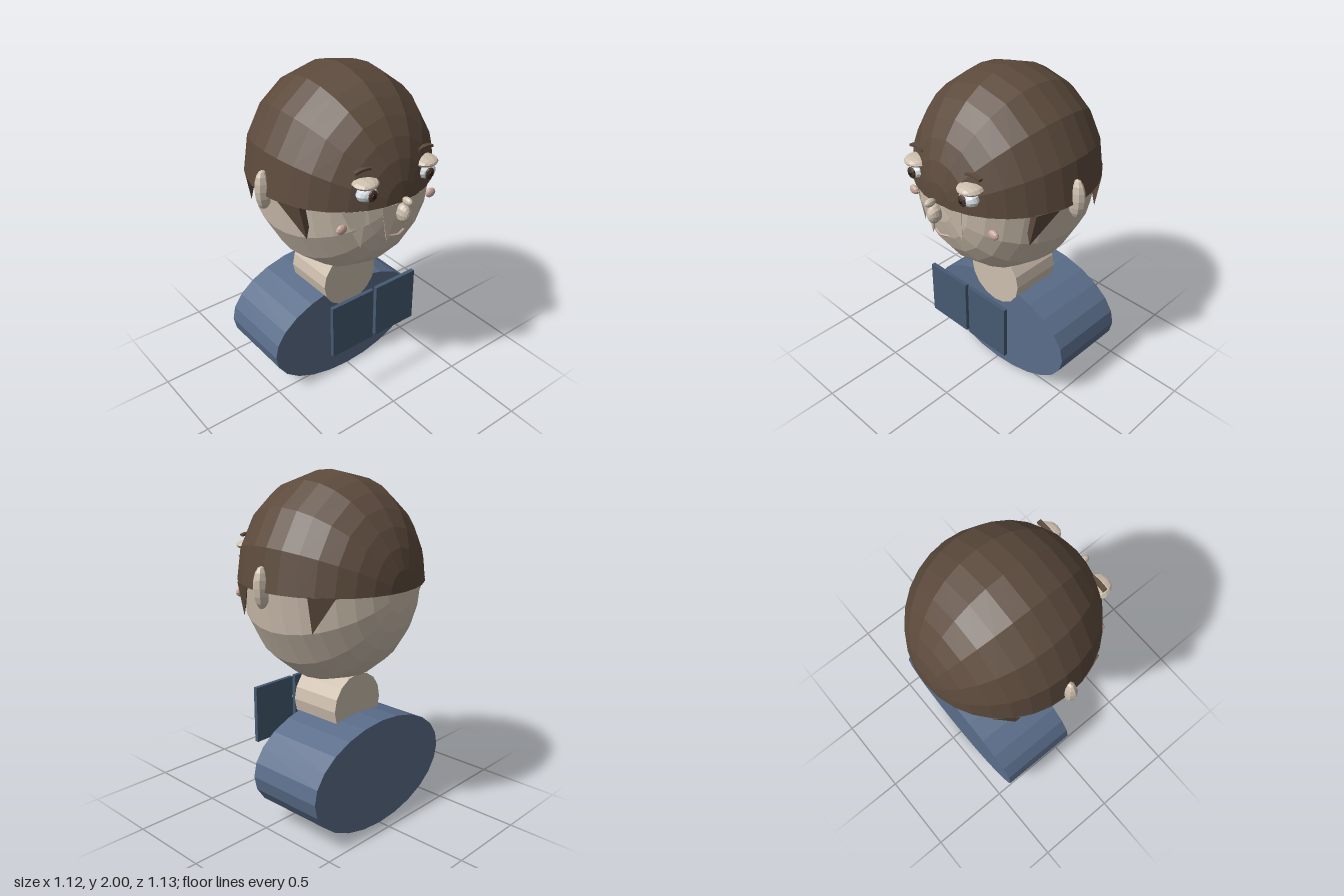
import * as THREE from 'three';

const material = (color) => new THREE.MeshStandardMaterial({ color, flatShading: true, side: THREE.DoubleSide });
const skin = material(0xcdbfae);
const hair = material(0x5c4a3c);
const coat = material(0x5a6d8a);
const lapel = material(0x465a72);
const white = material(0xd5dde2);
const iris = material(0x4a3428);
const dark = material(0x1c1614);
const blush = material(0xc9a79c);

export function createModel() {
  const model = new THREE.Group();
  model.name = 'characterBust';

  const add = (name, geometry, mat, x = 0, y = 0, z = 0) => {
    const mesh = new THREE.Mesh(geometry, mat);
    mesh.name = name;
    mesh.position.set(x, y, z);
    model.add(mesh);
    return mesh;
  };

  // Ellipsoid with its poles along z
  const ellipsoid = (rx, ry, rz, around = 10, rows = 8, start = 0, sweep = Math.PI * 2) =>
    new THREE.SphereGeometry(1, around, rows, start, sweep).rotateX(Math.PI / 2).scale(rx, ry, rz);

  // Elliptical drum lying along z
  const drum = (rx, ry, depth, sides) =>
    new THREE.CylinderGeometry(1, 1, depth, sides).rotateX(Math.PI / 2).scale(rx, ry, 1);

  // Pointed lock: three top corners meeting at a tip
  const lock = (a, b, c, tip) => {
    const g = new THREE.BufferGeometry();
    g.setAttribute('position', new THREE.Float32BufferAttribute(
      [a, b, tip, b, c, tip, c, a, tip, a, c, b].flat(2), 3));
    g.computeVertexNormals();
    return g;
  };

  // Torso and neck
  add('torso', drum(0.535, 0.32, 0.48, 24), coat, 0, 0.325, -0.19);
  add('neck', drum(0.19, 0.185, 0.32, 16), skin, 0, 0.695, -0.088);

  // Head, hair cap and the flat rim beneath it
  add('head', ellipsoid(0.49, 0.59, 0.515, 16, 16), skin, 0, 1.4, -0.03);
  add('hairCap', ellipsoid(0.52, 0.595, 0.53, 8, 16, Math.PI, Math.PI), hair, 0, 1.405, -0.035);
  add('hairRim', new THREE.CircleGeometry(1, 32).rotateX(Math.PI / 2).scale(0.52, 1, 0.53),
    hair, 0, 1.405, -0.035);

  // Paired parts, mirrored across x
  for (const s of [1, -1]) {
    const side = s > 0 ? 'left' : 'right';
    add(side + 'Lapel', new THREE.BoxGeometry(0.293, 0.345, 0.024), lapel, s * 0.158, 0.563, 0.29);
    add(side + 'Ear', new THREE.SphereGeometry(1, 8, 8).scale(0.052, 0.115, 0.038), skin, s * 0.507, 1.425, -0.022);

    // Sideburn and nape locks
    add(side + 'Sideburn', lock([s * 0.46, 1.41, 0.23], [s * 0.505, 1.41, 0.1],
      [s * 0.37, 1.41, 0.23], [s * 0.417, 1.21, 0.23]), hair);
    add(side + 'NapeLock', lock([s * 0.452, 1.41, -0.3], [s * 0.365, 1.41, -0.42],
      [s * 0.36, 1.41, -0.3], [s * 0.417, 1.21, -0.3]), hair);

    // Eye, lid and brow
    add(side + 'Eye', ellipsoid(0.062, 0.042, 0.045), white, s * 0.2, 1.502, 0.445);
    add(side + 'Iris', ellipsoid(0.03, 0.033, 0.012), iris, s * 0.193, 1.502, 0.485);
    add(side + 'Pupil', ellipsoid(0.013, 0.014, 0.006), dark, s * 0.193, 1.502, 0.495);
    add(side + 'Eyelid', ellipsoid(0.072, 0.027, 0.07), skin, s * 0.2, 1.557, 0.435);
    const brow = new THREE.BoxGeometry(0.1, 0.013, 0.026, 4, 1, 1);
    const p = brow.attributes.position;
    for (let i = 0; i < p.count; i++) p.setY(i, p.getY(i) - 3 * p.getX(i) ** 2);
    add(side + 'Brow', brow, hair, s * 0.21, 1.627, 0.42);

    add(side + 'Cheek', ellipsoid(0.034, 0.028, 0.018), blush, s * 0.31, 1.302, 0.385);
  }

  // Shallow wedges on the face below the hairline
  for (const [tipX, tipY, tipZ, topX, topZ, backX, backZ] of [
    [-0.2, 1.155, 0.405, -0.2, 0.448, -0.31, 0.385],
    [-0.07, 1.17, 0.465, -0.02, 0.49, -0.12, 0.475],
    [0.14, 1.21, 0.445, 0.04, 0.49, 0.16, 0.465],
  ]) {
    add('faceWedge', lock([topX, 1.4, topZ], [backX, 1.4, backZ],
      [(topX + backX) / 2, 1.4, 0.36], [tipX, tipY, tipZ]), skin);
  }

  // Nose bridge, nose tip and mouth
  add('nose', ellipsoid(0.036, 0.056, 0.045), skin, 0, 1.345, 0.505);
  add('noseTip', ellipsoid(0.02, 0.024, 0.034), skin, 0, 1.425, 0.532);
  const smile = new THREE.CatmullRomCurve3([[-0.048, 1.207, 0.462], [0, 1.196, 0.47], [0.048, 1.207, 0.462]]
    .map((v) => new THREE.Vector3(...v)));
  add('mouth', new THREE.TubeGeometry(smile, 8, 0.006, 5), blush);

  return model;
}
